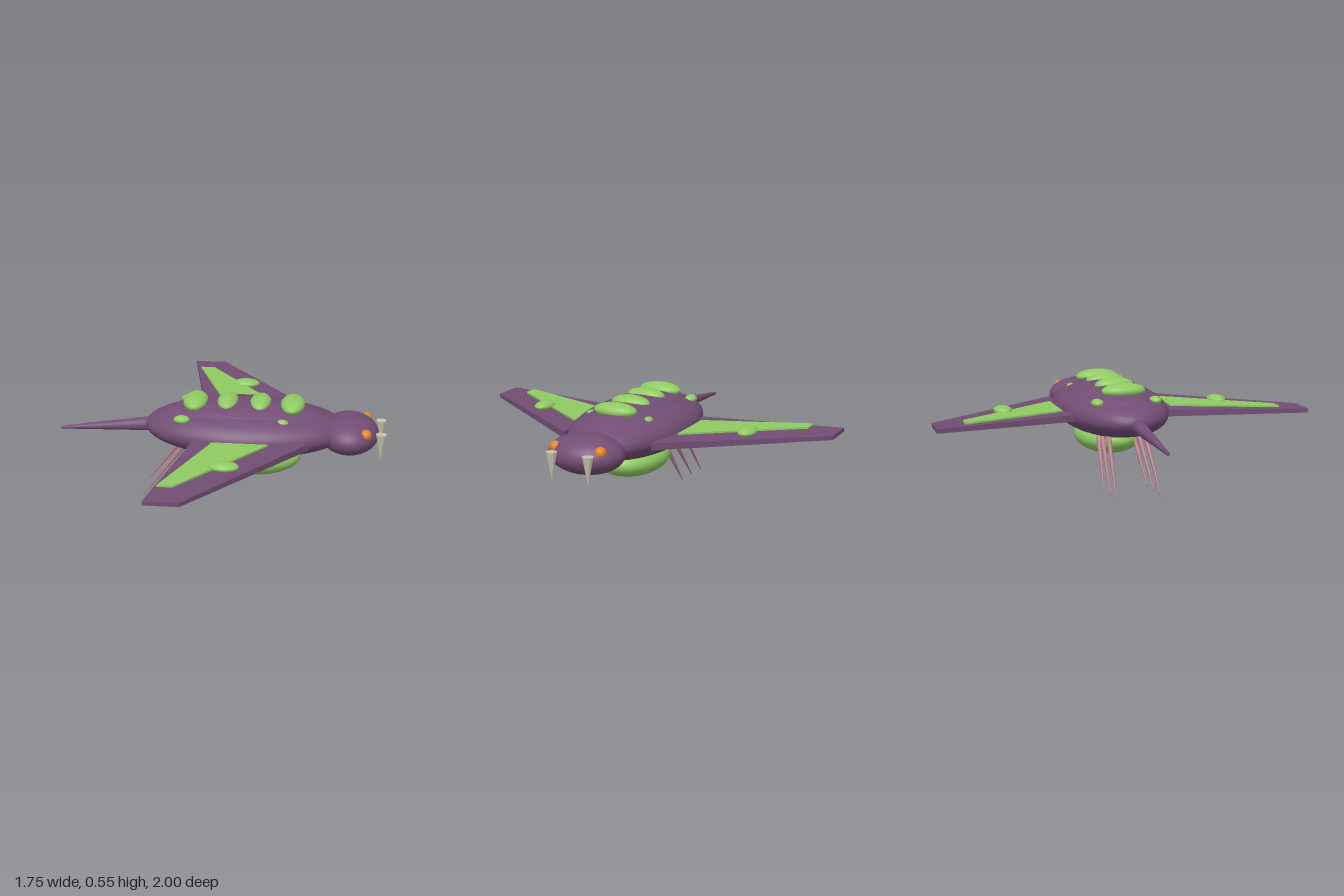
import * as THREE from 'three';

const mat = (name, color) => {
  const m = new THREE.MeshStandardMaterial({ color });
  m.name = name;
  return m;
};

export function createModel() {
  const purple = mat('purple hide', 0x724d74);
  const green = mat('green markings', 0x8fca62);
  const pink = mat('pink legs', 0xb07c8a);
  const bone = mat('bone fangs', 0xc9c2ac);
  bone.flatShading = true;
  const orange = mat('orange eyes', 0xe0822a);

  const model = new THREE.Group();
  model.name = 'flyingCreature';

  const add = (name, geometry, material) => {
    const mesh = new THREE.Mesh(geometry, material);
    mesh.name = name;
    model.add(mesh);
    return mesh;
  };

  const ellipsoid = (name, material, centre, radii, detail = 24) => {
    const mesh = add(name, new THREE.SphereGeometry(1, detail * 2, detail), material);
    mesh.position.set(...centre);
    mesh.scale.set(...radii);
    return mesh;
  };

  // Round spike running from a base point to a tip point
  const spike = (name, material, from, to, rBase, rTip, sides) => {
    const a = new THREE.Vector3(...from), b = new THREE.Vector3(...to);
    const dir = b.clone().sub(a);
    const mesh = add(name, new THREE.CylinderGeometry(rTip, rBase, dir.length(), sides), material);
    mesh.position.copy(a).add(b).multiplyScalar(0.5);
    mesh.quaternion.setFromUnitVectors(new THREE.Vector3(0, 1, 0), dir.normalize());
    return mesh;
  };

  // Flat slab with an outline in x and z; its thickness tapers toward the tip
  const slab = (name, material, outline, side, y, thickness, taper = 0) => {
    const shape = new THREE.Shape(outline.map(([x, z]) => new THREE.Vector2(x, z * side)));
    const g = new THREE.ExtrudeGeometry(shape, { depth: thickness, bevelEnabled: false });
    g.translate(0, 0, -thickness / 2);
    g.rotateX(Math.PI / 2);
    const p = g.attributes.position;
    for (let i = 0; i < p.count; i++) {
      p.setY(i, p.getY(i) * (1 - taper * (Math.abs(p.getZ(i)) - 0.25) / 0.75));
    }
    g.computeVertexNormals();
    add(name, g, material).position.y = y;
  };

  // Body, back hump, head, belly and tail
  ellipsoid('body', purple, [0.13, 0.38, 0], [0.54, 0.135, 0.29], 32);
  ellipsoid('backHump', purple, [0.125, 0.43, 0], [0.45, 0.1, 0.215], 32);
  ellipsoid('head', purple, [0.675, 0.365, 0], [0.157, 0.1, 0.198]);
  ellipsoid('belly', green, [0.173, 0.222, 0], [0.25, 0.095, 0.178]);
  spike('tail', purple, [-0.35, 0.375, 0], [-0.875, 0.327, 0], 0.04, 0.008, 20);

  // Row of bumps along the back
  for (const [x, y, rx, rz] of [
    [-0.14, 0.512, 0.065, 0.119], [0.032, 0.515, 0.057, 0.108],
    [0.205, 0.515, 0.057, 0.108], [0.375, 0.512, 0.065, 0.119],
  ]) ellipsoid('backBump', green, [x, y, 0], [rx, 0.04, rz], 16);

  for (const side of [1, -1]) {
    const label = side > 0 ? 'left' : 'right';

    // Wing with a raised panel and a bump
    slab(label + 'Wing', purple,
      [[-0.265, 1], [-0.09, 1], [0.47, 0.25], [-0.12, 0.25]], side, 0.375, 0.036, 0.4);
    slab(label + 'WingPanel', green,
      [[-0.22, 0.85], [-0.14, 0.85], [0.27, 0.3], [-0.02, 0.3]], side, 0.3975, 0.009);
    ellipsoid(label + 'WingBump', green, [0.075, 0.402, side * 0.6], [0.075, 0.024, 0.048], 14);

    // Side spots
    ellipsoid(label + 'RearSpot', green, [-0.195, 0.463, side * 0.157], [0.043, 0.022, 0.032], 12);
    ellipsoid(label + 'FrontSpot', green, [0.33, 0.466, side * 0.162], [0.035, 0.02, 0.025], 12);

    // Face
    ellipsoid(label + 'Eye', orange, [0.763, 0.405, side * 0.125], [0.03, 0.03, 0.03], 12);
    spike(label + 'Fang', bone, [0.843, 0.403, side * 0.1], [0.843, 0.253, side * 0.1], 0.028, 0, 10);

    // Three legs swept backward
    for (const [topX, topY, tipX] of [[-0.19, 0.3, -0.415], [-0.07, 0.29, -0.297], [-0.005, 0.245, -0.177]]) {
      spike(label + 'Leg', pink, [topX, topY, side * 0.098], [tipX, 0.002, side * 0.12], 0.015, 0.003, 12);
    }
  }

  return model;
}
